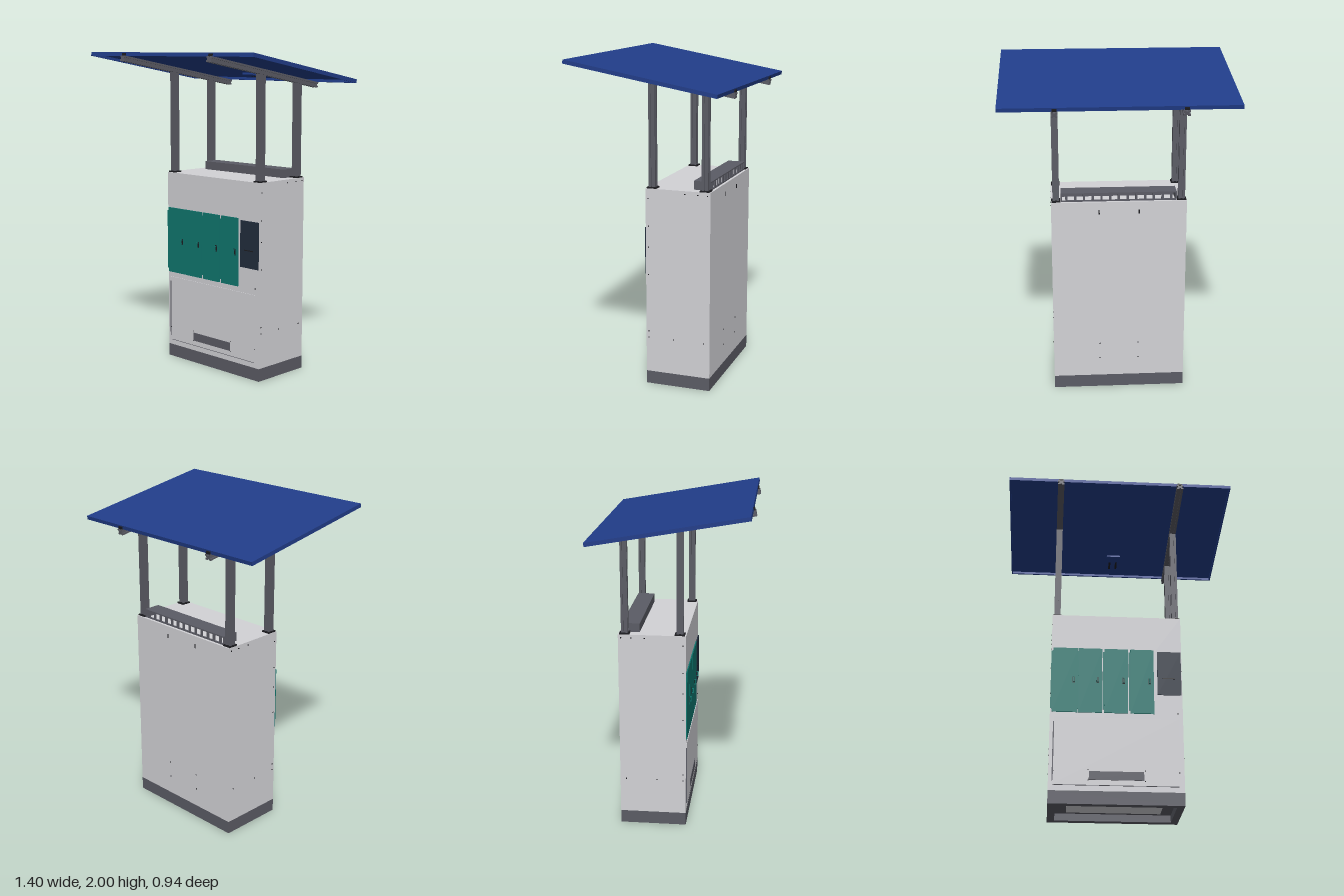
import * as THREE from 'three';

const mat = (name, color) => Object.assign(new THREE.MeshStandardMaterial({ color }), { name });

export function createModel() {
  const shell = mat('light grey shell', 0xd2d2d6);
  const steel = mat('dark grey steel', 0x5b5c65);
  const teal = mat('teal door', 0x0f766e);
  const navy = mat('navy display', 0x222d3d);
  const blue = mat('blue solar panel', 0x213d89);
  const black = mat('black fittings', 0x1c1c20);

  const model = new THREE.Group();
  model.name = 'solarKiosk';

  const add = (name, geometry, material, parent = model) => {
    const mesh = new THREE.Mesh(geometry, material);
    mesh.name = name;
    parent.add(mesh);
    return mesh;
  };
  // Box given by its minimum and maximum on each axis
  const box = (name, material, x0, x1, y0, y1, z0, z1, parent = model) => {
    const mesh = add(name, new THREE.BoxGeometry(x1 - x0, y1 - y0, z1 - z0), material, parent);
    mesh.position.set((x0 + x1) / 2, (y0 + y1) / 2, (z0 + z1) / 2);
    return mesh;
  };
  const rect = (Path, x0, x1, y0, y1) => new Path([[x0, y0], [x1, y0], [x1, y1], [x0, y1]]
    .map(([x, y]) => new THREE.Vector2(x, y)));
  // Slotted square profile, extruded along +z
  const slotted = (w, h, length) => {
    const s = 0.006, d = 0.007, a = w / 2, b = h / 2;
    const pts = [
      [-a, -b], [-s, -b], [-s, -b + d], [s, -b + d], [s, -b],
      [a, -b], [a, -s], [a - d, -s], [a - d, s], [a, s],
      [a, b], [s, b], [s, b - d], [-s, b - d], [-s, b],
      [-a, b], [-a, s], [-a + d, s], [-a + d, -s], [-a, -s],
    ].map(([x, y]) => new THREE.Vector2(x, y));
    return new THREE.ExtrudeGeometry(new THREE.Shape(pts), { depth: length, bevelEnabled: false });
  };

  // Hollow plinth with a recessed floor and access panel
  const W = 0.405, B = -0.328, F = 0.077;
  const ring = rect(THREE.Shape, -W, W, B, F);
  ring.holes.push(rect(THREE.Path, -W + 0.045, W - 0.045, B + 0.045, F - 0.045));
  const plinth = add('plinth', new THREE.ExtrudeGeometry(ring, { depth: 0.08, bevelEnabled: false }), steel);
  plinth.rotation.x = Math.PI / 2;
  plinth.position.y = 0.08;
  box('plinthFloor', steel, -0.37, 0.37, 0.045, 0.075, -0.29, 0.04);
  box('floorAccessPanel', shell, -0.29, 0.29, 0.038, 0.045, -0.235, -0.03);

  // Cabinet body
  box('cabinet', shell, -W, W, 0.08, 1.23, B, F);
  box('lowerServicePanel', shell, -0.38, 0.378, 0.115, 0.54, F, 0.081);
  box('servicePanelHinge', steel, -0.384, -0.377, 0.14, 0.51, F, 0.083);
  box('servicePanelEdge', steel, -0.37, 0.37, 0.113, 0.116, F, 0.0815);
  box('lowerVent', steel, -0.165, 0.163, 0.147, 0.2, F, 0.084);

  // Locker doors with hinge strips and pull handles
  [[-0.395, -0.238], [-0.234, -0.09], [-0.076, 0.07], [0.085, 0.23]].forEach(([x0, x1], i) => {
    const door = new THREE.Group();
    door.name = 'lockerDoor' + (i + 1);
    model.add(door);
    box('doorLeaf', teal, x0, x1, 0.573, 1.0, F, 0.084, door);
    box('doorHinge', teal, Math.max(x0 - 0.01, -W), x0, 0.595, 0.98, F, 0.083, door);
    const hx = x1 - 0.026;
    box('handlePlate', black, hx - 0.007, hx + 0.007, 0.766, 0.806, 0.084, 0.086, door);
    box('handleGrip', teal, hx - 0.004, hx + 0.004, 0.77, 0.802, 0.094, 0.099, door);
    for (const y of [0.77, 0.798]) box('handleStem', teal, hx - 0.004, hx + 0.004, y, y + 0.004, 0.084, 0.096, door);
  });

  // Payment and display panel
  box('displayPanel', navy, 0.252, 0.4, 0.7, 0.99, F, 0.084);
  box('displaySlot', black, 0.285, 0.36, 0.806, 0.812, 0.084, 0.086);

  // Ventilation hood, open at the back behind a row of fins
  const hood = new THREE.Group();
  hood.name = 'ventHood';
  model.add(hood);
  box('hoodFront', steel, -0.345, 0.345, 1.23, 1.283, -0.213, -0.205, hood);
  box('hoodTop', steel, -0.345, 0.345, 1.275, 1.283, -0.312, -0.205, hood);
  for (const s of [-1, 1]) box('hoodEnd', steel, s * 0.341 - 0.004, s * 0.341 + 0.004, 1.23, 1.283, -0.312, -0.205, hood);
  box('hoodSill', steel, -0.345, 0.345, 1.23, 1.238, -0.312, -0.302, hood);
  for (let i = 0; i < 13; i++) {
    const x = -0.312 + i * 0.052;
    box('hoodFin', steel, x - 0.007, x + 0.007, 1.23, 1.278, -0.312, -0.302, hood);
  }

  // Canopy posts with feet
  for (const x of [-0.375, 0.375]) {
    for (const [z, top] of [[0.04, 1.877], [-0.29, 1.82]]) {
      const post = add('canopyPost', slotted(0.04, 0.04, top - 1.23), steel);
      post.rotation.x = -Math.PI / 2;
      post.position.set(x, 1.23, z);
      box('postFoot', black, x - 0.027, x + 0.027, 1.23, 1.238, z - 0.03, z + 0.03);
    }
  }

  // Tilted canopy: framed solar panel on two rails
  const canopy = new THREE.Group();
  canopy.name = 'solarCanopy';
  canopy.position.y = 1.9195;
  canopy.rotation.x = -THREE.MathUtils.degToRad(10);
  model.add(canopy);
  box('solarSheet', blue, -0.7, 0.7, -0.006, 0, -0.467, 0.46, canopy);
  box('panelFrameFront', blue, -0.7, 0.7, -0.023, -0.006, 0.452, 0.46, canopy);
  box('panelFrameBack', blue, -0.7, 0.7, -0.023, -0.006, -0.467, -0.459, canopy);
  for (const s of [-1, 1]) {
    box('panelFrameSide', blue, s * 0.696 - 0.004, s * 0.696 + 0.004, -0.023, -0.006, -0.459, 0.452, canopy);
    const rail = add('canopyRail', slotted(0.04, 0.034, 0.953), steel, canopy);
    rail.position.set(s * 0.375, -0.039, -0.48);
    for (const z of [-0.472, 0.464]) {
      box('railClamp', black, s * 0.375 - 0.014, s * 0.375 + 0.014, -0.022, -0.006, z - 0.004, z + 0.004, canopy);
    }
    box('cableConnector', black, s * 0.022 - 0.006, s * 0.022 + 0.006, -0.018, -0.006, -0.38, -0.31, canopy);
  }
  box('junctionBox', blue, -0.045, 0.045, -0.018, -0.006, -0.31, -0.25, canopy);

  // Small fasteners on the sides, back and front
  const bolt = (x, y, z) => box('fastener', black, x - 0.003, x + 0.003, y - 0.003, y + 0.003, z - 0.003, z + 0.003);
  for (const s of [-1, 1]) {
    for (const y of [0.3, 0.34, 0.7, 0.87, 1.0, 1.17]) bolt(s * W, y, 0.06);
    for (const z of [-0.1, -0.29]) bolt(s * W, 0.3, z);
    for (const z of [-0.17, -0.25, -0.31]) bolt(s * W, 1.21, z);
    for (const y of [0.145, 0.21]) bolt(s * 0.17, y, F + 0.002);
    for (const y of [0.2, 0.58]) bolt(s * 0.375, y, F + 0.002);
    for (const y of [0.2, 0.3]) bolt(s * 0.12, y, B);
    box('backLatch', black, s * 0.12 - 0.004, s * 0.12 + 0.004, 1.155, 1.18, B - 0.003, B);
  }
  return model;
}
